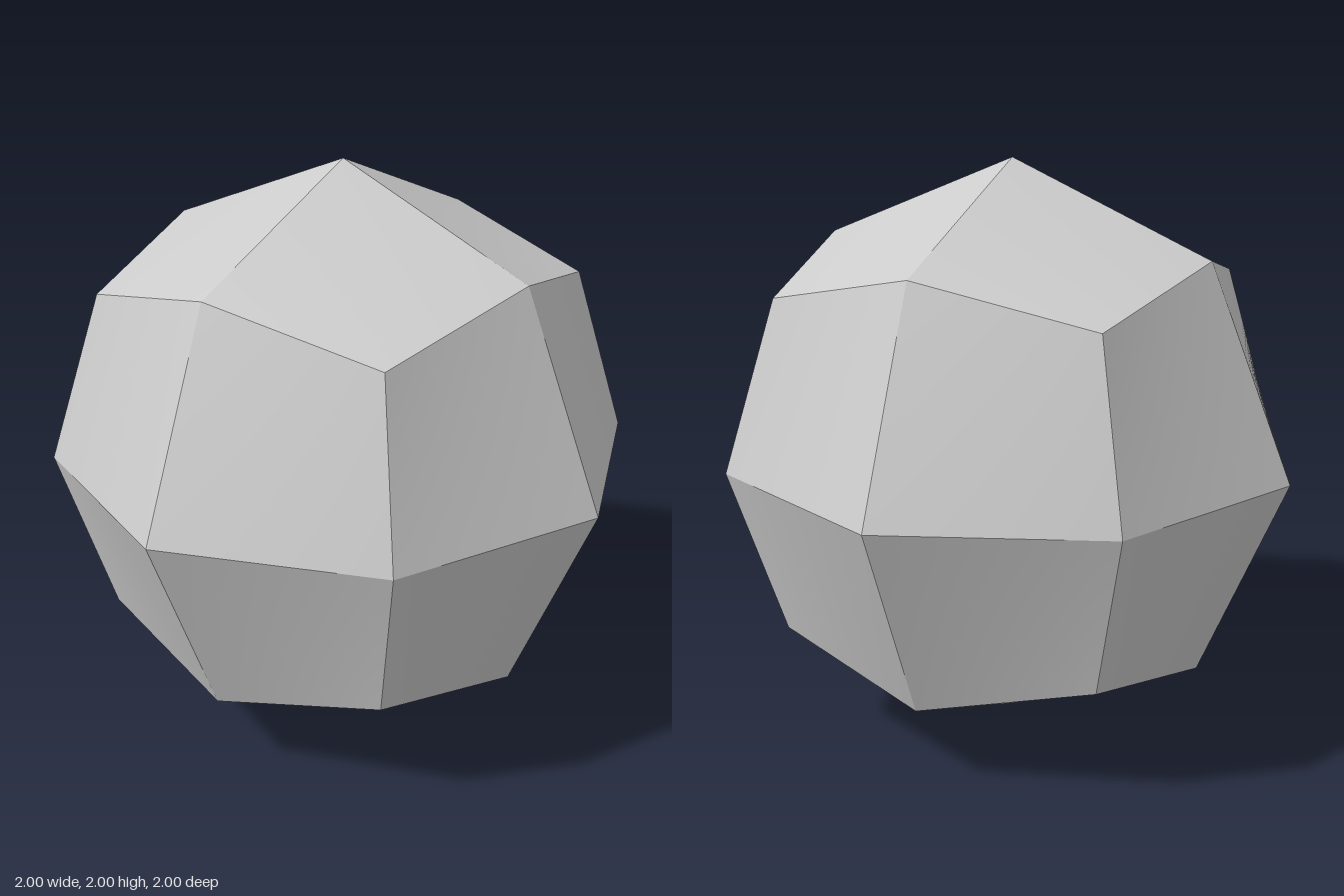
import * as THREE from 'three';
import { mergeGeometries } from 'three/addons/utils/BufferGeometryUtils.js';

const STEPS = 16;

// One slightly bowed four-sided facet, spanning four corners of the unit sphere.
// axis picks the cube side (0 x, 1 y, 2 z), signs picks the octant.
function facet(axis, signs) {
  const corner = (a, b) => {
    const p = [0, 0, 0];
    p[axis] = signs[axis];
    const u = (axis + 1) % 3, v = (axis + 2) % 3;
    p[u] = a * signs[u];
    p[v] = b * signs[v];
    return new THREE.Vector3(...p).normalize();
  };
  const c00 = corner(0, 0), c10 = corner(1, 0), c01 = corner(0, 1), c11 = corner(1, 1);
  const mirrored = signs[0] * signs[1] * signs[2] < 0;

  const geometry = new THREE.PlaneGeometry(1, 1, STEPS, STEPS);
  const pos = geometry.attributes.position;
  for (let i = 0; i < pos.count; i++) {
    let s = pos.getX(i) + 0.5, t = pos.getY(i) + 0.5;
    if (mirrored) [s, t] = [t, s]; // keeps the facet facing outwards
    const low = c00.clone().lerp(c10, s);
    const high = c01.clone().lerp(c11, s);
    const p = low.lerp(high, t);
    pos.setXYZ(i, p.x, p.y, p.z);
  }
  geometry.computeVertexNormals(); // smooth inside a facet, sharp between facets
  return geometry;
}

export function createModel() {
  const group = new THREE.Group();
  group.name = 'facetedBall';

  // Three facets in each of the eight octants
  const facets = [];
  for (const x of [-1, 1])
    for (const y of [-1, 1])
      for (const z of [-1, 1])
        for (let axis = 0; axis < 3; axis++) facets.push(facet(axis, [x, y, z]));

  const ball = new THREE.Mesh(
    mergeGeometries(facets),
    new THREE.MeshStandardMaterial({ color: 0xcccccc })
  );
  ball.name = 'ball';
  ball.position.y = 1;
  group.add(ball);
  return group;
}
